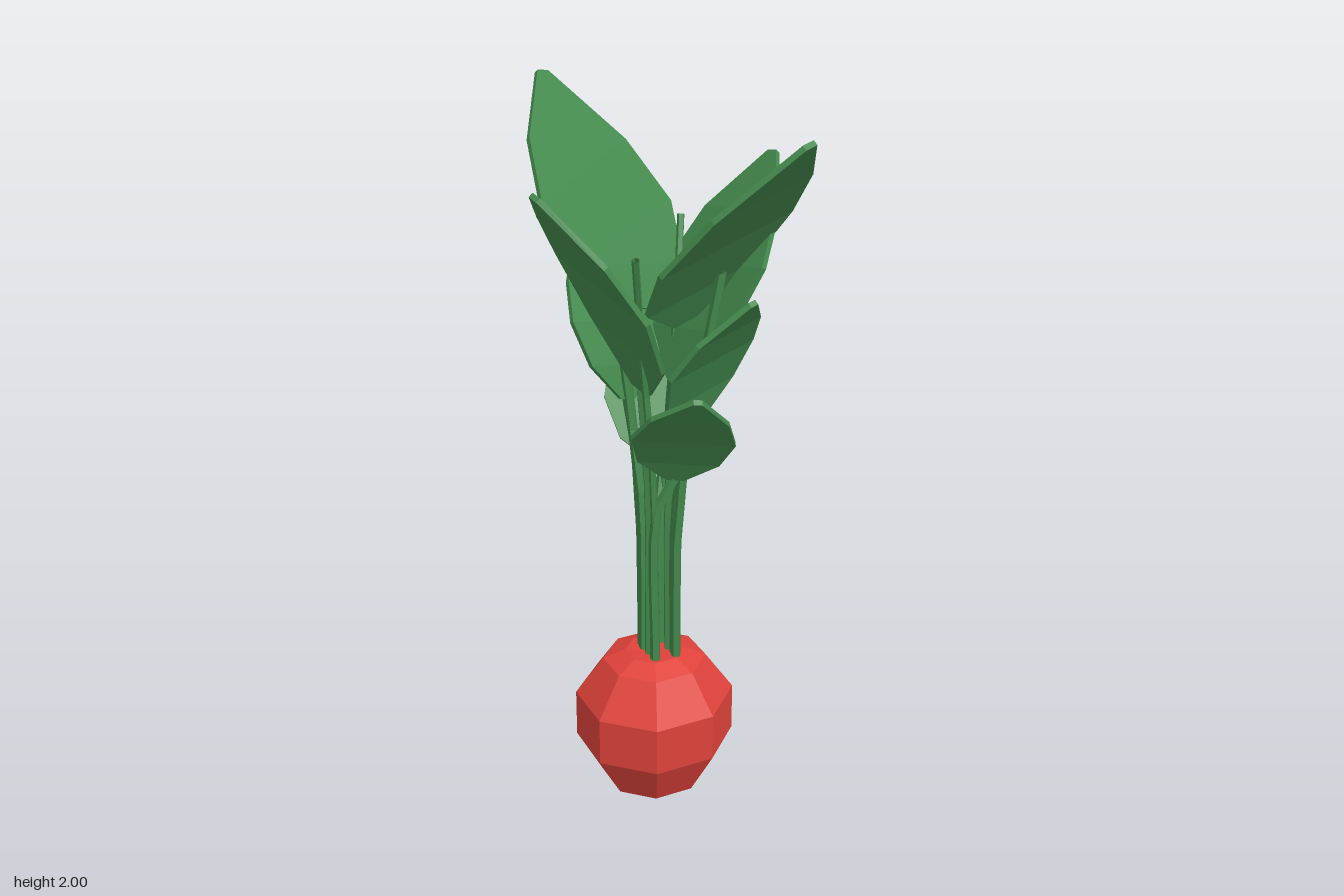
import * as THREE from 'three';

const V = (a) => new THREE.Vector3(...a);

// Thin closed leaf blade: rectangular sections swept from base through mid to tip
function leafGeometry(base, mid, tip, side) {
  const b = V(base), t = V(tip), s = V(side);
  const ctrl = V(mid).multiplyScalar(2).addScaledVector(b, -0.5).addScaledVector(t, -0.5);
  const curve = new THREE.QuadraticBezierCurve3(b, ctrl, t);
  const stations = [[0, 0.18], [0.22, 0.8], [0.5, 1], [0.75, 0.74], [1, 0.08]];
  const pos = [], idx = [];
  for (const [u, w] of stations) {
    const c = curve.getPoint(u);
    const n = curve.getTangent(u).cross(s).normalize().multiplyScalar(0.007);
    for (const [i, j] of [[-1, -1], [1, -1], [1, 1], [-1, 1]])
      pos.push(...c.clone().addScaledVector(s, i * w).addScaledVector(n, j).toArray());
  }
  const last = (stations.length - 1) * 4;
  for (let r = 0; r < last; r += 4)
    for (let i = 0; i < 4; i++) {
      const j = (i + 1) % 4;
      idx.push(r + i, r + j, r + 4 + j, r + i, r + 4 + j, r + 4 + i);
    }
  idx.push(0, 2, 1, 0, 3, 2, last, last + 1, last + 2, last, last + 2, last + 3);
  const g = new THREE.BufferGeometry();
  g.setAttribute('position', new THREE.Float32BufferAttribute(pos, 3));
  g.setIndex(idx);
  g.computeVertexNormals();
  return g;
}

export function createModel() {
  const group = new THREE.Group();
  const red = new THREE.MeshStandardMaterial({ color: 0xdf423a, flatShading: true });
  const green = new THREE.MeshStandardMaterial({ color: 0x438a4d, flatShading: true });
  const stemGreen = new THREE.MeshStandardMaterial({ color: 0x438a4d, flatShading: true, side: THREE.DoubleSide });
  const add = (name, geometry, material) => {
    const mesh = new THREE.Mesh(geometry, material);
    mesh.name = name;
    group.add(mesh);
    return mesh;
  };

  // Faceted eight-sided root
  const profile = [[0, 0], [0.05, 0.01], [0.14, 0.05], [0.217, 0.19], [0.217, 0.33], [0.14, 0.44], [0.08, 0.465], [0, 0.46]];
  const bulb = add('bulb', new THREE.LatheGeometry(profile.map((p) => new THREE.Vector2(...p)), 8, Math.PI / 8), red);
  bulb.position.set(-0.01, 0, -0.01);
  bulb.scale.set(1.03, 1, 0.98);

  const stem = (name, points, radius = 0.014) =>
    add(name, new THREE.TubeGeometry(new THREE.CatmullRomCurve3(points.map(V)), 6, radius, 5), stemGreen);

  // Each leaf: blade base, middle, tip, half-width vector, and its stem's foot and end
  const addLeaf = (name, { base, mid, tip, side, foot, end = base }) => {
    add(name + 'Blade', leafGeometry(base, mid, tip, side), green);
    stem(name + 'Stem', [foot, [foot[0], 0.95, foot[2] * 1.4], end]);
  };

  // Leaves that repeat half a turn around the root
  const turn = ([x, y, z], shift = 0) => [shift - x, y, -z];
  const pairs = {
    tallLeaf: { base: [0.04, 1.46, 0.06], mid: [0.08, 1.705, 0.21], tip: [0.15, 1.995, 0.46], side: [0.205, 0.04, -0.055], foot: [0.03, 0.43, 0.045], end: [0.11, 1.6, 0.13], shift: 0.033 },
    sideLeaf: { base: [0.055, 1.27, -0.01], mid: [0.165, 1.565, -0.015], tip: [0.35, 1.83, -0.055], side: [0.04, 0.042, 0.185], foot: [0.03, 0.43, 0], shift: 0 },
    middleLeaf: { base: [0.055, 1.2, 0.1], mid: [0.06, 1.395, 0.175], tip: [0.1, 1.58, 0.31], side: [0.13, 0.025, -0.03], foot: [0.033, 0.43, 0.03], shift: 0.01 },
  };
  for (const [name, { shift, side, foot, ...points }] of Object.entries(pairs)) {
    addLeaf(name + 'Front', { ...points, side, foot });
    const back = { side: turn(side), foot: turn(foot) };
    for (const key in points) back[key] = turn(points[key], shift);
    addLeaf(name + 'Back', back);
  }

  // Lowest pair of leaves
  addLeaf('lowLeafFront', { base: [0.01, 1.03, 0.075], mid: [-0.015, 1.185, 0.175], tip: [-0.05, 1.355, 0.32], side: [0.13, -0.02, 0.035], foot: [-0.03, 0.43, 0.04] });
  addLeaf('lowLeafBack', { base: [0.05, 1.0, -0.08], mid: [0.07, 1.175, -0.195], tip: [0.1, 1.355, -0.34], side: [-0.125, -0.02, -0.035], foot: [0.03, 0.43, -0.04] });

  // Bare stems reaching up past the side leaves
  const bare = [[-0.035, 0.43, 0.035], [-0.04, 0.95, 0.055], [-0.085, 1.45, 0.07], [-0.13, 1.67, 0.14]];
  stem('bareStemFront', bare, 0.01);
  stem('bareStemBack', bare.map((p) => turn(p)), 0.01);

  return group;
}
